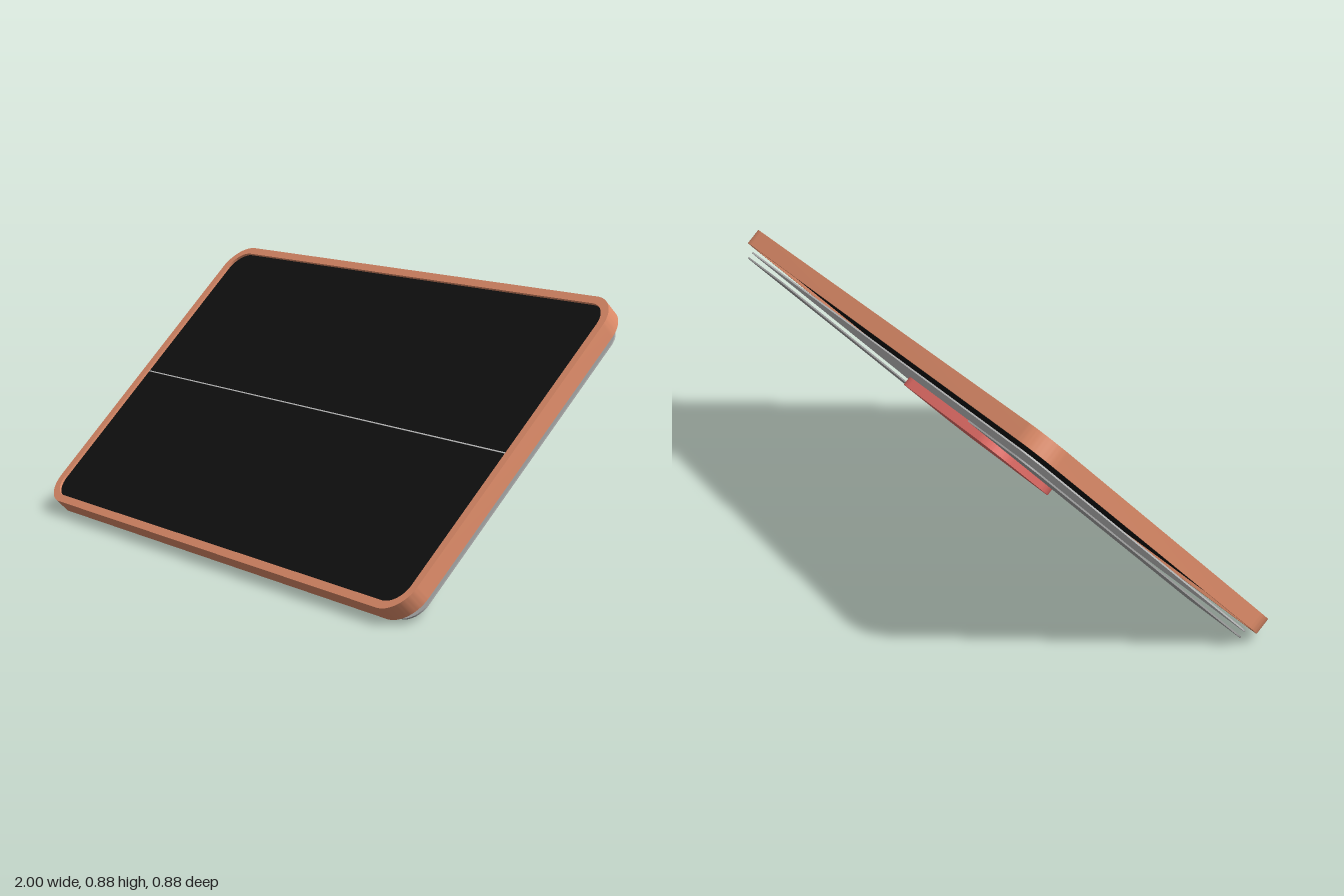
import * as THREE from 'three';
import { toCreasedNormals } from 'three/addons/utils/BufferGeometryUtils.js';

// Rectangle from x0..x1, y0..y1 with separate radii for its -x and +x corners
function roundedRect(target, x0, x1, y0, y1, rNeg, rPos) {
  const corner = (x, y, r, start) => {
    if (r > 0) target.absarc(x, y, r, start, start + Math.PI / 2, false);
    else target.lineTo(x, y);
  };
  target.moveTo(x0 + rNeg, y0);
  corner(x1 - rPos, y0 + rPos, rPos, -Math.PI / 2);
  corner(x1 - rPos, y1 - rPos, rPos, 0);
  corner(x0 + rNeg, y1 - rNeg, rNeg, Math.PI / 2);
  corner(x0 + rNeg, y0 + rNeg, rNeg, Math.PI);
  target.closePath();
  return target;
}

// Slab from a shape, lying between two heights along the panel's normal
function slab(name, shape, bottom, top, color) {
  const geometry = new THREE.ExtrudeGeometry(shape, {
    depth: top - bottom, bevelEnabled: false, curveSegments: 12,
  });
  geometry.translate(0, 0, bottom);
  const mesh = new THREE.Mesh(
    toCreasedNormals(geometry, Math.PI / 6),
    new THREE.MeshStandardMaterial({ color }),
  );
  mesh.name = name;
  return mesh;
}

const rect = (x0, x1, y0, y1, rNeg, rPos = rNeg) =>
  roundedRect(new THREE.Shape(), x0, x1, y0, y1, rNeg, rPos);

export function createModel() {
  const model = new THREE.Group();
  model.name = 'tiltedPanel';

  // Everything is laid flat (y up the slope, z out of the face), then leaned back
  const panel = new THREE.Group();
  panel.name = 'panel';
  panel.rotation.x = -Math.PI / 4;
  model.add(panel);

  // Rim around the screen
  const rim = rect(-1, 1, -0.276, 0.898, 0.1);
  rim.holes.push(roundedRect(new THREE.Path(), -0.973, 0.973, -0.249, 0.871, 0.073, 0.073));
  panel.add(slab('frame', rim, 0.29, 0.3465, 0xe08d6a));

  // Slightly recessed dark screen with a fine line across its middle
  panel.add(slab('screen', rect(-0.973, 0.973, -0.249, 0.871, 0.073), 0.3, 0.338, 0x111111));
  panel.add(slab('centreLine', rect(-0.973, 0.973, 0.309, 0.313, 0), 0.337, 0.3395, 0xcccccc));

  // Thin back plate, and a flap behind each end of it
  const [y0, y1, half, r] = [-0.246, 0.867, 0.968, 0.07];
  panel.add(slab('backPlate', rect(-half, half, y0, y1, r), 0.2715, 0.2765, 0xcccccc));
  panel.add(slab('leftFlap', rect(0.635, half, y0, y1, 0, r), 0.249, 0.254, 0xaaaaaa));
  panel.add(slab('rightFlap', rect(-half, -0.635, y0, y1, r, 0), 0.249, 0.254, 0xaaaaaa));

  // Off-centre pad on the back
  panel.add(slab('backPad', rect(-0.1, 0.58, -0.032, 0.318, 0.1), 0.238, 0.293, 0xe9706a));

  return model;
}
